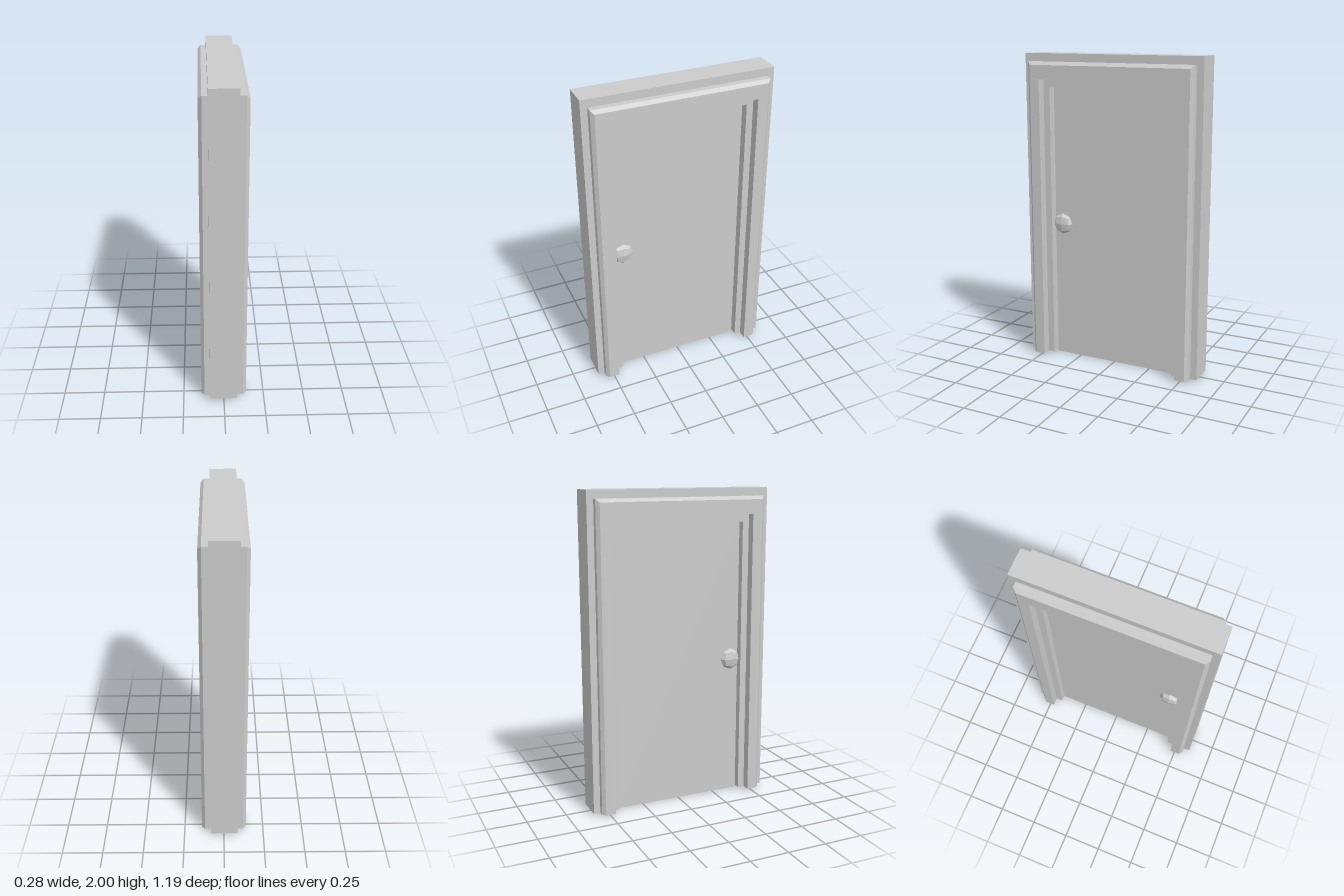
import * as THREE from 'three';

const BOTTOM = 0.013;

// Upside-down U outline: half widths and heights of the outer and inner edges
function archShape(outer, outerTop, inner, innerTop) {
  return new THREE.Shape([
    [-outer, BOTTOM], [-inner, BOTTOM], [-inner, innerTop], [inner, innerTop],
    [inner, BOTTOM], [outer, BOTTOM], [outer, outerTop], [-outer, outerTop],
  ].map(([x, y]) => new THREE.Vector2(x, y)));
}

// Raised trim around the opening, with a chamfer on its outer edge only
function casingGeometry() {
  const outer = 0.555, top = 1.95, chamfer = 0.02;
  const layers = [0.08, 0.12, 0.14];
  const geo = new THREE.ExtrudeGeometry(archShape(outer, top, 0.47, 1.84),
    { depth: 2, steps: 2, bevelEnabled: false });
  const p = geo.attributes.position;
  for (let i = 0; i < p.count; i++) {
    const layer = Math.round(p.getZ(i));
    p.setZ(i, layers[layer]);
    if (layer < 2) continue;
    if (Math.abs(p.getX(i)) > outer - 0.001) p.setX(i, Math.sign(p.getX(i)) * (outer - chamfer));
    if (p.getY(i) > top - 0.001) p.setY(i, top - chamfer);
  }
  geo.computeVertexNormals();
  return geo;
}

// Faceted knob: a subdivided cube pushed out to a flattened ball
function knobGeometry() {
  const geo = new THREE.BoxGeometry(2, 2, 2, 2, 2, 2);
  const p = geo.attributes.position;
  const v = new THREE.Vector3();
  for (let i = 0; i < p.count; i++) {
    v.fromBufferAttribute(p, i).normalize();
    p.setXYZ(i, v.x, v.y, v.z);
  }
  geo.scale(0.032, 0.068, 0.068);
  geo.computeVertexNormals();
  return geo;
}

export function createModel() {
  const model = new THREE.Group();
  model.name = 'door';
  const grey = new THREE.MeshStandardMaterial({ color: 0xcccccc, flatShading: true });
  grey.name = 'light grey';

  const add = (name, geo) => {
    const mesh = new THREE.Mesh(geo, grey);
    mesh.name = name;
    model.add(mesh);
    return mesh;
  };

  // Jambs and head in one piece
  const frame = new THREE.ExtrudeGeometry(archShape(0.597, 2, 0.427, 1.79),
    { depth: 0.168, bevelEnabled: false });
  frame.translate(0, 0, -0.084).rotateY(Math.PI / 2);
  frame.translate(-0.002, 0, 0);
  add('frame', frame);

  // Door panel, set slightly off the middle of the frame
  const slab = add('doorPanel', new THREE.BoxGeometry(0.07, 1.79, 0.854));
  slab.position.set(-0.008, 0.895, 0);

  // Trim and knob on both faces
  for (const side of [1, -1]) {
    const label = side > 0 ? 'left' : 'right';
    add(label + 'Casing', casingGeometry()).rotation.y = side * Math.PI / 2;
    add(label + 'Knob', knobGeometry()).position.set(-0.008 + side * 0.042, 0.905, 0.37);
  }
  return model;
}
